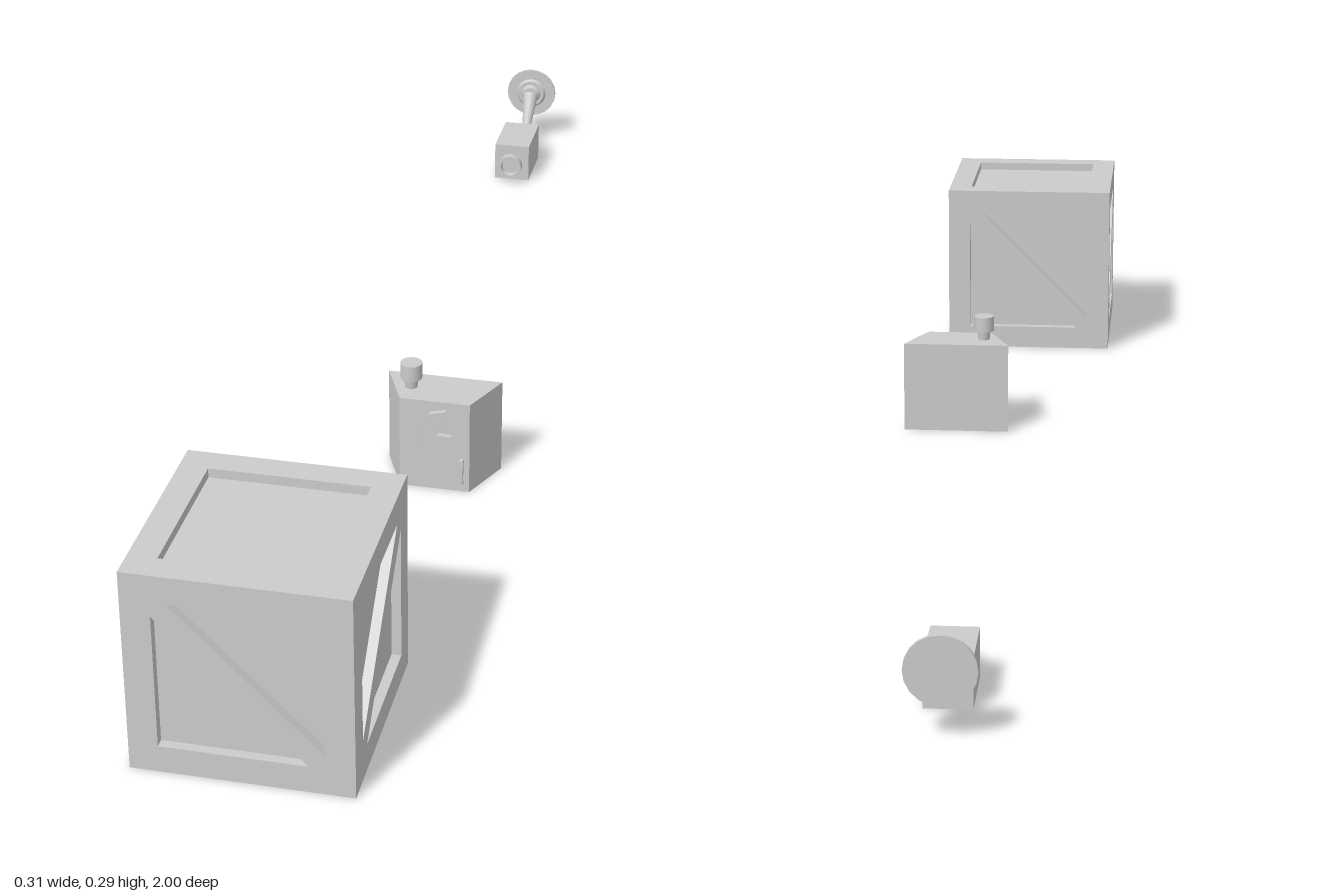
import * as THREE from 'three';

const mat = new THREE.MeshStandardMaterial({ color: 0xcccccc });

function add(parent, name, geometry, x = 0, y = 0, z = 0) {
  const mesh = new THREE.Mesh(geometry, mat);
  mesh.name = name;
  mesh.position.set(x, y, z);
  parent.add(mesh);
  return mesh;
}

const polygon = (pts) => pts.map(([x, y]) => new THREE.Vector2(x, y));
const extrude = (shape, depth) => new THREE.ExtrudeGeometry(shape, { depth, bevelEnabled: false });

// Square frame plate with holes; its rear outer edge is mitred to meet its neighbours
function framePlate(half, depth, holes) {
  const shape = new THREE.Shape(polygon([[-half, -half], [half, -half], [half, half], [-half, half]]));
  holes.forEach((h) => shape.holes.push(new THREE.Path(polygon(h))));
  const geo = extrude(shape, depth);
  const p = geo.attributes.position;
  for (let i = 0; i < p.count; i++) {
    if (p.getZ(i) > depth / 2) continue;
    const lim = half - depth;
    p.setX(i, THREE.MathUtils.clamp(p.getX(i), -lim, lim));
    p.setY(i, THREE.MathUtils.clamp(p.getY(i), -lim, lim));
  }
  geo.computeVertexNormals();
  return geo;
}

// Cylinder between two points, r0 at the start and r1 at the end
function rod(parent, name, a, b, r0, r1) {
  const from = new THREE.Vector3(...a), to = new THREE.Vector3(...b);
  const dir = to.clone().sub(from);
  const mesh = add(parent, name, new THREE.CylinderGeometry(r1, r0, dir.length(), 20));
  mesh.position.copy(from).add(to).multiplyScalar(0.5);
  mesh.quaternion.setFromUnitVectors(new THREE.Vector3(0, 1, 0), dir.normalize());
  return mesh;
}

function createCrate() {
  const crate = new THREE.Group();
  crate.name = 'crate';
  const half = 0.1437, depth = 0.013, inner = 0.1055, gap = 0.02;
  add(crate, 'cratePanels', new THREE.BoxGeometry(1, 1, 1).scale(...Array(3).fill(2 * (half - depth))));
  const i = inner, g = inner - gap;
  // Side openings are two triangles split by a falling brace
  const falling = [[[-g, i], [i, i], [i, -g]], [[-i, g], [-i, -i], [g, -i]]];
  const rising = falling.map((t) => t.map(([x, y]) => [-x, y]));
  const square = [[[-i, -i], [i, -i], [i, i], [-i, i]]];
  const faces = [
    ['frontFrame', falling, 0, 0], ['leftFrame', rising, 0, Math.PI / 2],
    ['backFrame', falling, 0, Math.PI], ['rightFrame', rising, 0, -Math.PI / 2],
    ['topFrame', square, -Math.PI / 2, 0], ['bottomFrame', square, Math.PI / 2, 0],
  ];
  for (const [name, holes, rx, ry] of faces) {
    const geo = framePlate(half, depth, holes).translate(0, 0, half - depth);
    add(crate, name, geo).rotation.set(rx, ry, 0);
  }
  crate.position.set(-0.014, half, 0.8563);
  return crate;
}

function createPowerBox() {
  const box = new THREE.Group();
  box.name = 'powerBox';
  const zBack = 0.205, zFront = 0.281, height = 0.145;
  // Trapezoid body, wider at the back
  const plan = new THREE.Shape(polygon([[-0.012, -zBack], [0.021, -zFront], [0.124, -zFront], [0.157, -zBack]]));
  add(box, 'boxBody', extrude(plan, height).rotateX(-Math.PI / 2));
  // Cap on a narrow neck
  rod(box, 'capNeck', [0.03, height, 0.243], [0.03, 0.162, 0.243], 0.009, 0.011);
  rod(box, 'cap', [0.03, 0.16, 0.243], [0.03, 0.184, 0.243], 0.016, 0.016);
  // Raised warning bolt
  const bolt = new THREE.Shape(polygon([
    [0.09, 0.134], [0.066, 0.128], [0.047, 0.078], [0.066, 0.076],
    [0.055, 0.022], [0.098, 0.093], [0.077, 0.094],
  ].reverse()));
  add(box, 'warningBolt', extrude(bolt, 0.008), 0, 0, zFront);
  // Small pull handle
  add(box, 'handleBar', new THREE.BoxGeometry(0.006, 0.04, 0.004), 0.113, 0.035, zFront + 0.006);
  for (const y of [0.018, 0.052]) {
    add(box, 'handleFoot', new THREE.BoxGeometry(0.006, 0.006, 0.005), 0.113, y, zFront + 0.002);
  }
  return box;
}

function createSecurityCamera() {
  const cam = new THREE.Group();
  cam.name = 'securityCamera';
  const cx = -0.015, cy = 0.033;
  add(cam, 'cameraBody', new THREE.BoxGeometry(0.062, 0.066, 0.104), cx, cy, -0.852);
  // Lens barrel with a hollow front rim
  const lens = [[0.016, -0.002], [0.016, 0.008], [0.021, 0.012], [0.021, 0.025], [0.016, 0.025], [0.015, 0.015], [0, 0.015]];
  const lensGeo = new THREE.LatheGeometry(polygon(lens), 24).rotateX(Math.PI / 2).toNonIndexed();
  lensGeo.computeVertexNormals();
  add(cam, 'lens', lensGeo, cx, cy, -0.802);
  // Arm from the body to the wall plate
  rod(cam, 'rearCollar', [cx, cy, -0.9], [cx, cy, -0.911], 0.016, 0.014);
  const elbow = [cx, 0.036, -0.946];
  rod(cam, 'rearArm', [cx, cy, -0.909], elbow, 0.007, 0.007);
  add(cam, 'elbow', new THREE.SphereGeometry(0.01, 16, 12), ...elbow);
  rod(cam, 'wallArm', elbow, [cx, 0.09, -0.988], 0.007, 0.014);
  // Stepped wall plate
  const steps = [['wallPlate', -1, -0.995, 0.045, 0.045], ['wallPlateStep', -0.996, -0.99, 0.028, 0.024],
    ['wallPlateHub', -0.991, -0.983, 0.018, 0.014]];
  for (const [name, z0, z1, r0, r1] of steps) rod(cam, name, [cx, 0.09, z0], [cx, 0.09, z1], r0, r1);
  return cam;
}

export function createModel() {
  const model = new THREE.Group();
  model.name = 'props';
  model.add(createCrate(), createPowerBox(), createSecurityCamera());
  return model;
}
